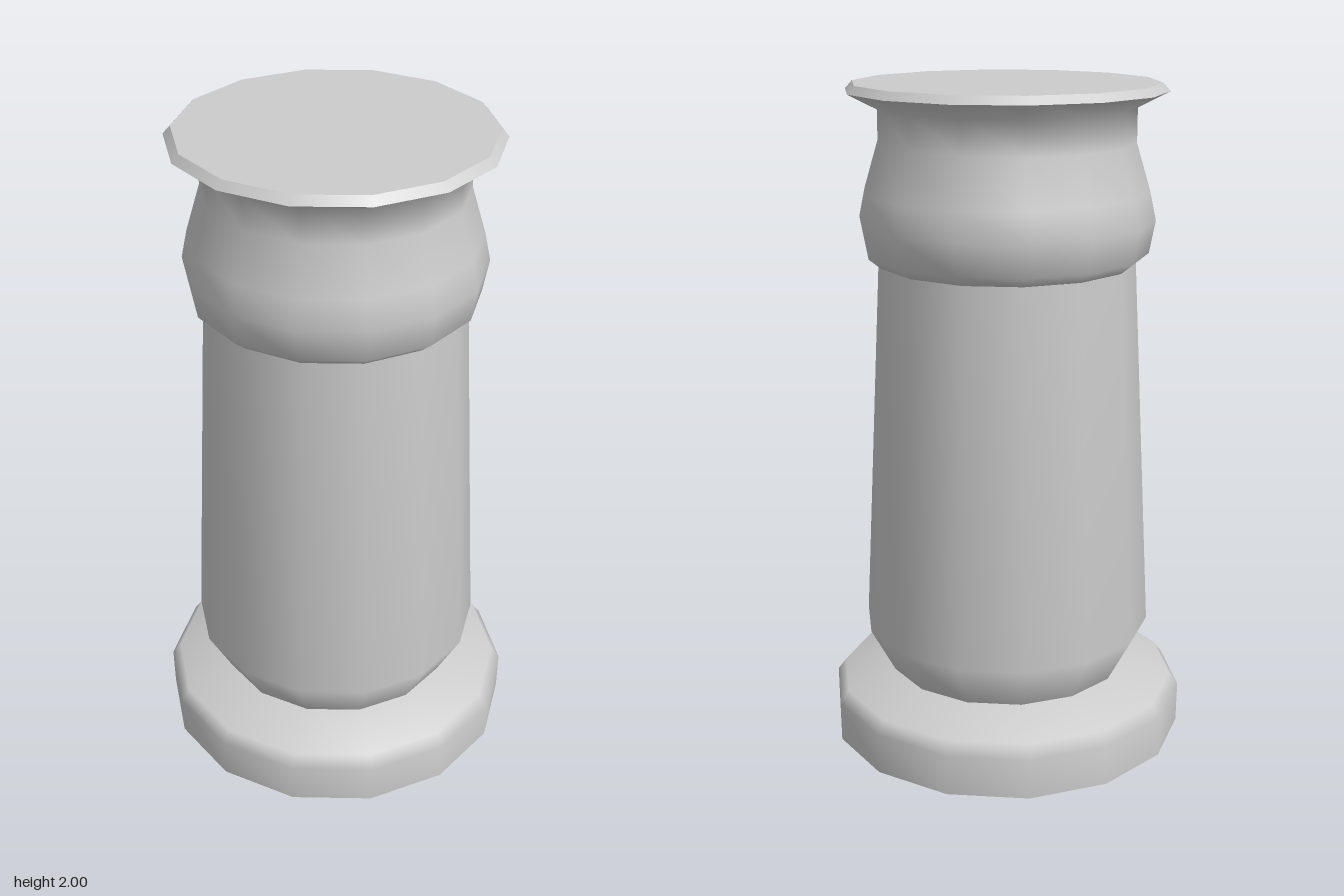
import * as THREE from 'three';

const SIDES = 14;

export function createModel() {
  const group = new THREE.Group();
  const material = new THREE.MeshStandardMaterial({ color: 0xcccccc, side: THREE.DoubleSide });

  // Each part is a 14-sided turned shell, [radius, height] from bottom to top
  const turn = (name, profile) => {
    const points = profile.map(([r, y]) => new THREE.Vector2(r, y));
    const mesh = new THREE.Mesh(new THREE.LatheGeometry(points, SIDES, Math.PI / 2), material);
    mesh.name = name;
    group.add(mesh);
  };

  // Foot ring, open underneath
  turn('base', [[0.545, 0], [0.547, 0.125], [0.52, 0.162], [0.367, 0.21]]);

  // Tapering hollow shaft
  turn('shaft', [[0.367, 0.21], [0.442, 0.35], [0.383, 1.48]]);

  // Bulging collar that runs into the neck and the flared underside of the lip
  turn('collar', [
    [0.383, 1.48], [0.42, 1.51], [0.438, 1.605], [0.42, 1.69],
    [0.378, 1.83], [0.378, 1.93], [0.47, 1.977],
  ]);

  // Bevelled lip edge and flat top
  turn('lip', [[0.47, 1.977], [0.449, 2]]);
  turn('top', [[0.449, 2], [0, 2]]);

  return group;
}
